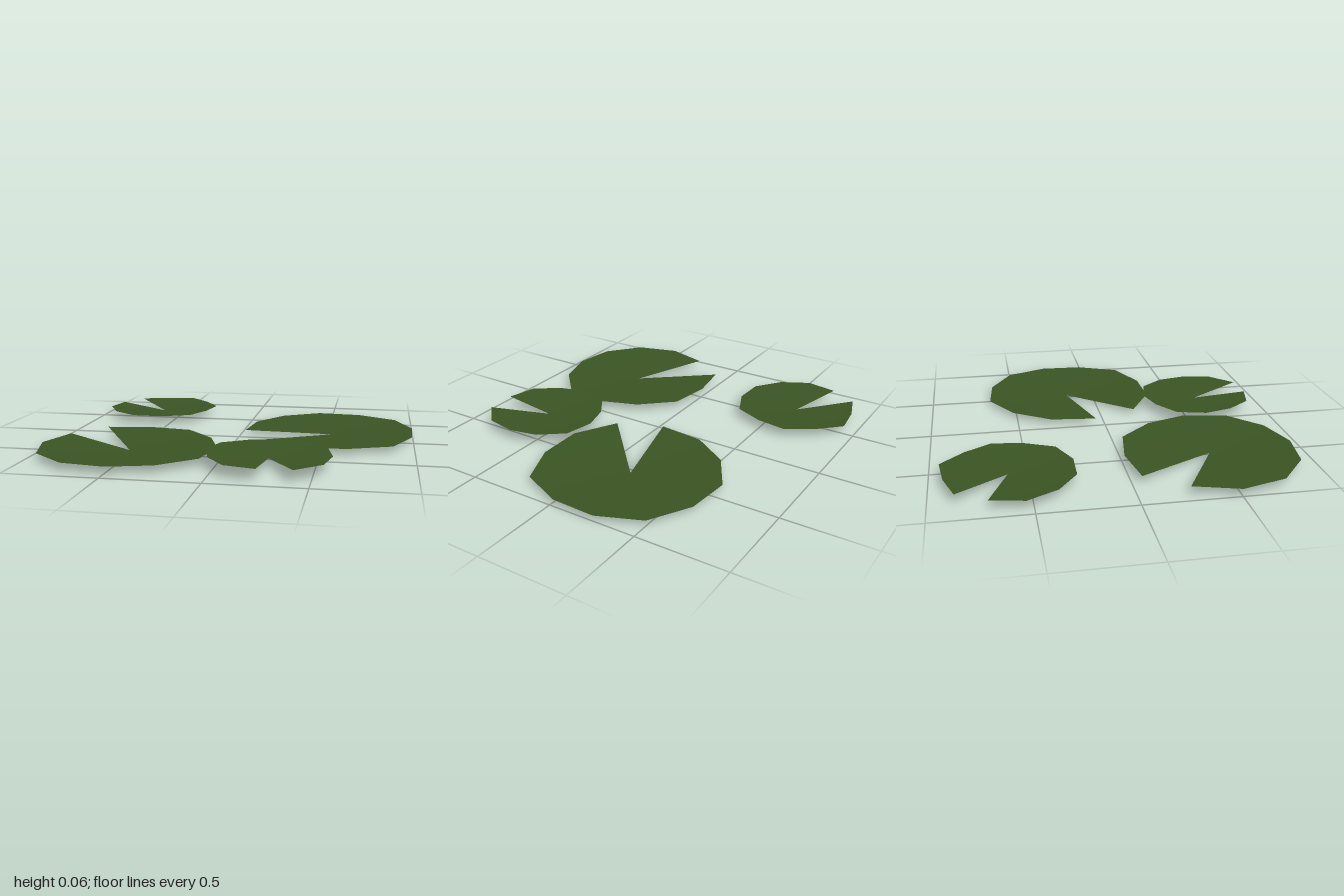
import * as THREE from 'three';

// Each pad is a 12-slice dish with one slice left out as the notch.
// start: angle (degrees, from +x towards +z) of the first rim point; radii: rim points 30 degrees apart.
const PADS = [
  { name: 'largeRightPad', x: 0.53, z: -0.16, base: 0, depth: 0.031, start: 167.5,
    radii: [0.512, 0.493, 0.488, 0.502, 0.49, 0.503, 0.481, 0.482, 0.524, 0.5, 0.515, 0.53] },
  { name: 'largeLeftPad', x: -0.51, z: 0.48, base: 0.012, depth: 0.029, start: 237.8,
    radii: [0.508, 0.47, 0.488, 0.466, 0.476, 0.488, 0.466, 0.46, 0.479, 0.494, 0.49, 0.474] },
  { name: 'smallBackPad', x: -0.61, z: -0.605, base: 0.023, depth: 0.029, start: 229,
    radii: [0.351, 0.326, 0.36, 0.323, 0.342, 0.327, 0.358, 0.349, 0.357, 0.35, 0.358, 0.337] },
  { name: 'smallFrontPad', x: 0.26, z: 0.61, base: 0.034, depth: 0.028, start: 93,
    radii: [0.32, 0.333, 0.318, 0.33, 0.341, 0.313, 0.32, 0.338, 0.326, 0.326, 0.347, 0.349] },
];

// Shallow fan: low centre point, raised rim
function padGeometry({ start, radii, depth }) {
  const positions = [0, 0, 0];
  const index = [];
  radii.forEach((r, i) => {
    const a = THREE.MathUtils.degToRad(start + i * 30);
    positions.push(r * Math.cos(a), depth, r * Math.sin(a));
    if (i > 0) index.push(0, i + 1, i);
  });
  const geometry = new THREE.BufferGeometry();
  geometry.setAttribute('position', new THREE.Float32BufferAttribute(positions, 3));
  geometry.setIndex(index);
  geometry.computeVertexNormals();
  return geometry;
}

export function createModel() {
  const group = new THREE.Group();
  group.name = 'lilyPads';

  const leafGreen = new THREE.MeshStandardMaterial({ color: 0x3b5523, side: THREE.DoubleSide });
  leafGreen.name = 'leafGreen';

  for (const pad of PADS) {
    const mesh = new THREE.Mesh(padGeometry(pad), leafGreen);
    mesh.name = pad.name;
    mesh.position.set(pad.x, pad.base, pad.z);
    group.add(mesh);
  }
  return group;
}
